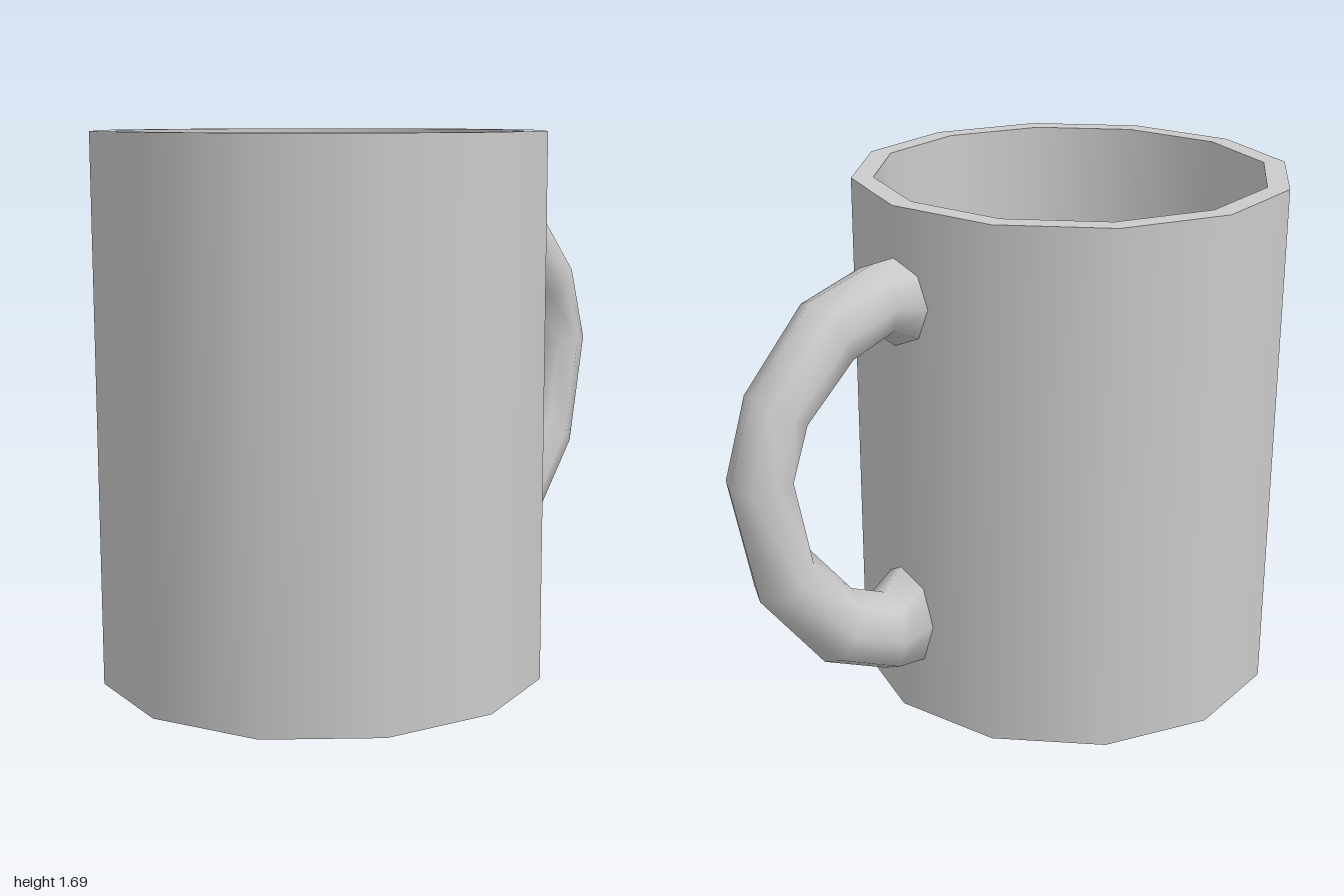
import * as THREE from 'three';

const SIDES = 12;      // facets around the cup
const CUP_Z = 0.3;     // cup axis, offset so cup and handle are centred together
const R_OUT = 0.7, R_IN = 0.63, HEIGHT = 1.69, FLOOR = 0.08;

const material = new THREE.MeshStandardMaterial({ color: 0xcccccc });

// One band of the cup; separate bands keep the rim and base edges sharp
function band(name, from, to) {
  const points = [new THREE.Vector2(...from), new THREE.Vector2(...to)];
  const mesh = new THREE.Mesh(new THREE.LatheGeometry(points, SIDES), material);
  mesh.name = name;
  return mesh;
}

// Eight-sided loops through pairs of outer and inner points
function createHandle() {
  // [outer z, outer y, inner z, inner y, half width]
  const rings = [
    [-0.40, 1.53, -0.40, 1.25, 0.125],
    [-0.47, 1.525, -0.46, 1.30, 0.115],
    [-0.695, 1.455, -0.59, 1.245, 0.11],
    [-0.915, 1.205, -0.745, 1.095, 0.105],
    [-1.0, 0.94, -0.795, 0.94, 0.1],
    [-0.92, 0.55, -0.745, 0.68, 0.105],
    [-0.70, 0.265, -0.59, 0.49, 0.11],
    [-0.47, 0.16, -0.465, 0.435, 0.115],
    [-0.40, 0.145, -0.40, 0.51, 0.125],
  ];
  const n = 8, positions = [], index = [];
  rings.forEach(([oz, oy, iz, iy, w], r) => {
    const isEnd = r === 0 || r === rings.length - 1;
    for (let k = 0; k < n; k++) {
      const a = (k / n) * Math.PI * 2, c = Math.cos(a);
      const x = w * Math.sin(a);
      const y = (oy + iy) / 2 + ((oy - iy) / 2) * c;
      let z = (oz + iz) / 2 + ((oz - iz) / 2) * c;
      if (isEnd) z += 0.268 * Math.abs(x) + 0.005; // end follows the cup wall
      positions.push(x, y, z);
      if (r < rings.length - 1) {
        const p = r * n + k, q = r * n + ((k + 1) % n);
        index.push(p, q, p + n, q, q + n, p + n);
      }
    }
  });
  const geometry = new THREE.BufferGeometry();
  geometry.setAttribute('position', new THREE.Float32BufferAttribute(positions, 3));
  geometry.setIndex(index);
  geometry.computeVertexNormals();
  const mesh = new THREE.Mesh(geometry, material);
  mesh.name = 'handle';
  return mesh;
}

export function createModel() {
  const model = new THREE.Group();
  model.name = 'mug';

  // Cup: base, wall, rim, inner wall and floor
  const cup = new THREE.Group();
  cup.name = 'cup';
  cup.position.z = CUP_Z;
  cup.add(
    band('base', [0, 0], [R_OUT, 0]),
    band('outerWall', [R_OUT, 0], [R_OUT, HEIGHT]),
    band('rim', [R_OUT, HEIGHT], [R_IN, HEIGHT]),
    band('innerWall', [R_IN, HEIGHT], [R_IN, FLOOR]),
    band('innerFloor', [R_IN, FLOOR], [0, FLOOR]),
  );

  model.add(cup, createHandle());
  return model;
}
